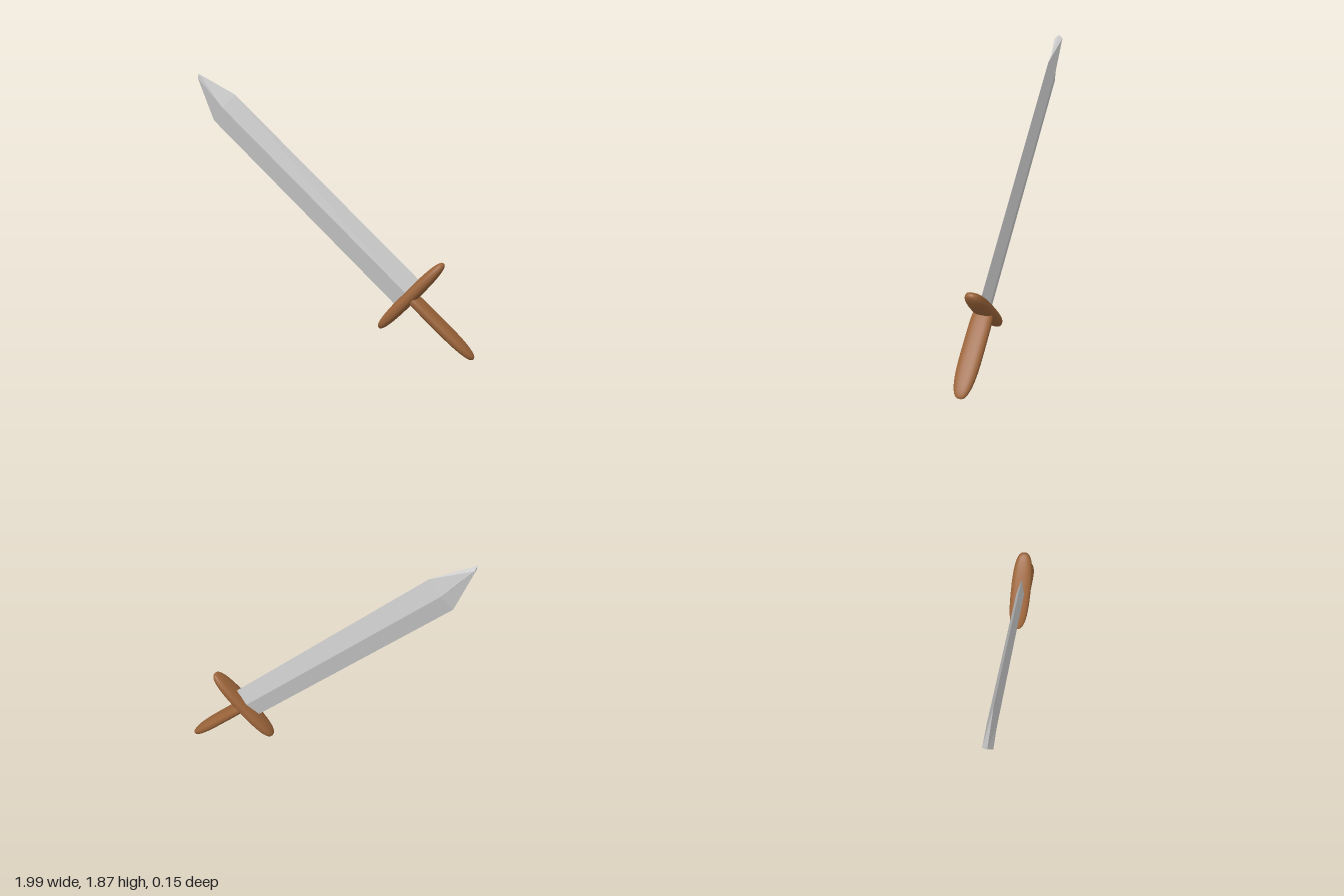
import * as THREE from 'three';
import { mergeVertices } from 'three/addons/utils/BufferGeometryUtils.js';

const steel = new THREE.MeshStandardMaterial({ color: 0xcccccc, flatShading: true });
const wood = new THREE.MeshStandardMaterial({ color: 0x9b643a });

// Smooth rounded bar: a sphere squared off by powers, then scaled to half sizes
function roundedBar(hx, hy, hz, topPower, bottomPower) {
  const g = new THREE.SphereGeometry(1, 48, 48);
  g.deleteAttribute('uv');
  g.deleteAttribute('normal');
  const p = g.attributes.position;
  for (let i = 0; i < p.count; i++) {
    const x = p.getX(i), y = p.getY(i), z = p.getZ(i);
    const a = 2.5, n = y > 0 ? topPower : bottomPower;
    const r = Math.pow(Math.abs(x) ** a + Math.abs(z) ** a, 1 / a);
    const k = Math.pow(r ** n + Math.abs(y) ** n, -1 / n);
    p.setXYZ(i, x * k * hx, y * k * hy, z * k * hz);
  }
  const merged = mergeVertices(g, 1e-5);
  merged.computeVertexNormals();
  return merged;
}

// Diamond-section blade lofted from base to shoulder to a small skewed tip
function bladeGeometry() {
  const diamond = (cx, y) => [[cx + 0.124, y, 0], [cx, y, 0.03], [cx - 0.124, y, 0], [cx, y, -0.03]];
  const rings = [
    diamond(0, 0.035),
    diamond(0.01, 1.843),
    [[0.056, 2.14, 0.008], [0.04, 2.115, 0.038], [0.034, 2.116, 0.004], [0.044, 2.118, -0.022]],
  ];
  const index = [];
  for (let r = 0; r < rings.length - 1; r++) {
    for (let i = 0; i < 4; i++) {
      const a = r * 4 + i, b = r * 4 + (i + 1) % 4;
      index.push(a, a + 4, b, b, a + 4, b + 4);
    }
  }
  index.push(0, 1, 2, 0, 2, 3, 8, 10, 9, 8, 11, 10); // end caps
  const g = new THREE.BufferGeometry();
  g.setAttribute('position', new THREE.Float32BufferAttribute(rings.flat(2), 3));
  g.setIndex(index);
  const flat = g.toNonIndexed();
  flat.computeVertexNormals();
  return flat;
}

export function createModel() {
  const sword = new THREE.Group();
  sword.name = 'sword';

  const add = (name, geometry, material) => {
    const mesh = new THREE.Mesh(geometry, material);
    mesh.name = name;
    sword.add(mesh);
    return mesh;
  };

  const blade = add('blade', bladeGeometry(), steel);
  blade.material.side = THREE.DoubleSide;

  // Crossguard lies across the blade
  const guard = add('crossguard', roundedBar(0.045, 0.325, 0.076, 2.7, 2.7), wood);
  guard.rotation.z = -Math.PI / 2;

  // Grip: blunt where it meets the guard, rounded at the pommel end
  const grip = add('grip', roundedBar(0.038, 0.3, 0.075, 6, 2.6), wood);
  grip.position.y = -0.287;

  // Lean the whole sword diagonally
  sword.rotation.z = 0.836;
  sword.position.set(0.555, 0.415, 0);

  const model = new THREE.Group();
  model.add(sword);
  return model;
}
